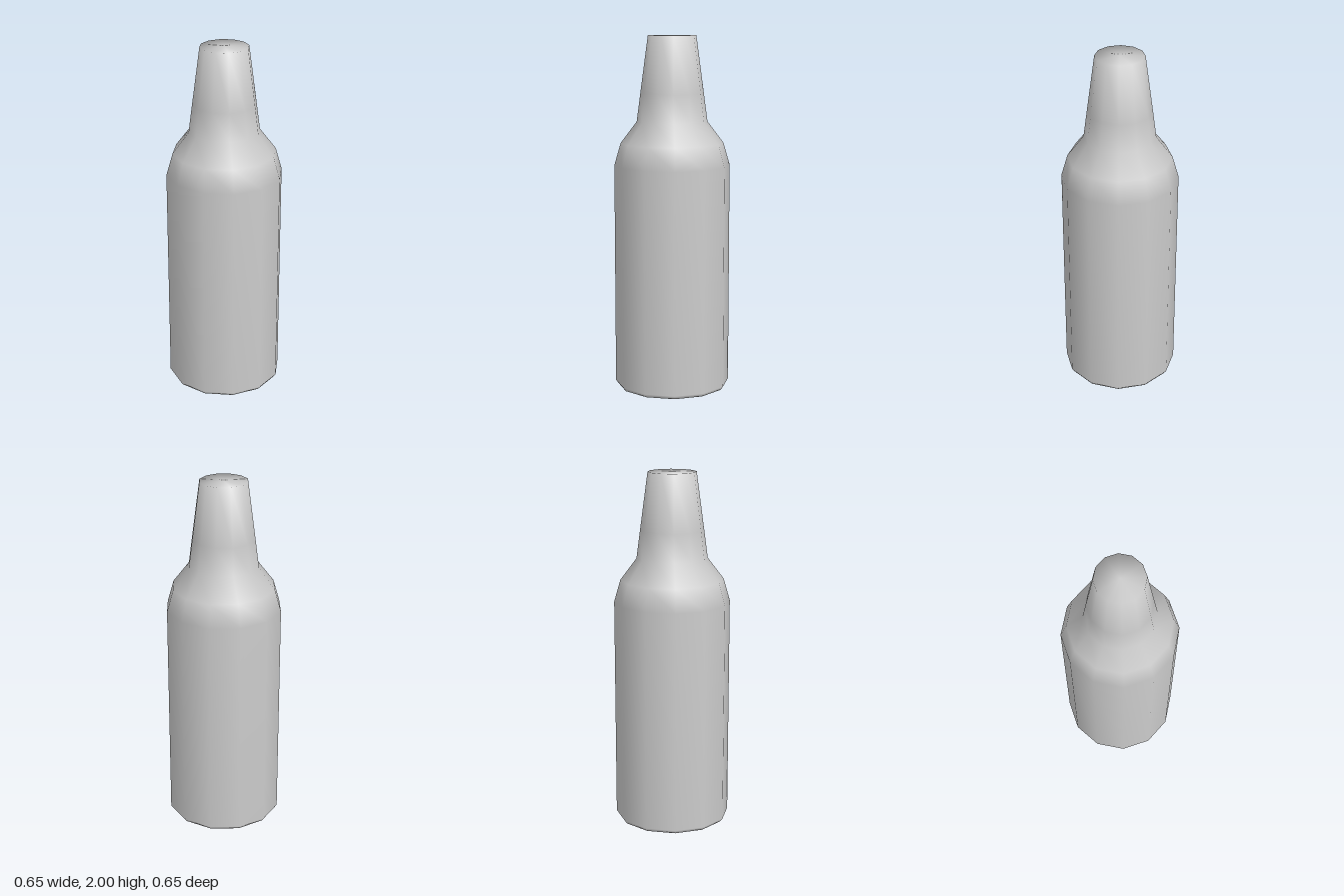
import * as THREE from 'three';

export function createModel() {
  const group = new THREE.Group();
  group.name = 'bottle';

  // Closed profile from base centre to top centre
  const profile = [
    [0, 0], [0.312, 0], [0.326, 0.02],   // base and bevel
    [0.326, 1.275],                      // straight body
    [0.29, 1.4], [0.199, 1.52],          // shoulder
    [0.178, 1.68], [0.135, 2], [0, 2],   // neck and top
  ].map(([r, y]) => new THREE.Vector2(r, y));

  // Twelve-sided, smooth-shaded body of revolution
  const body = new THREE.Mesh(
    new THREE.LatheGeometry(profile, 12),
    new THREE.MeshStandardMaterial({ color: 0xcccccc })
  );
  body.name = 'bottleBody';
  group.add(body);

  return group;
}
